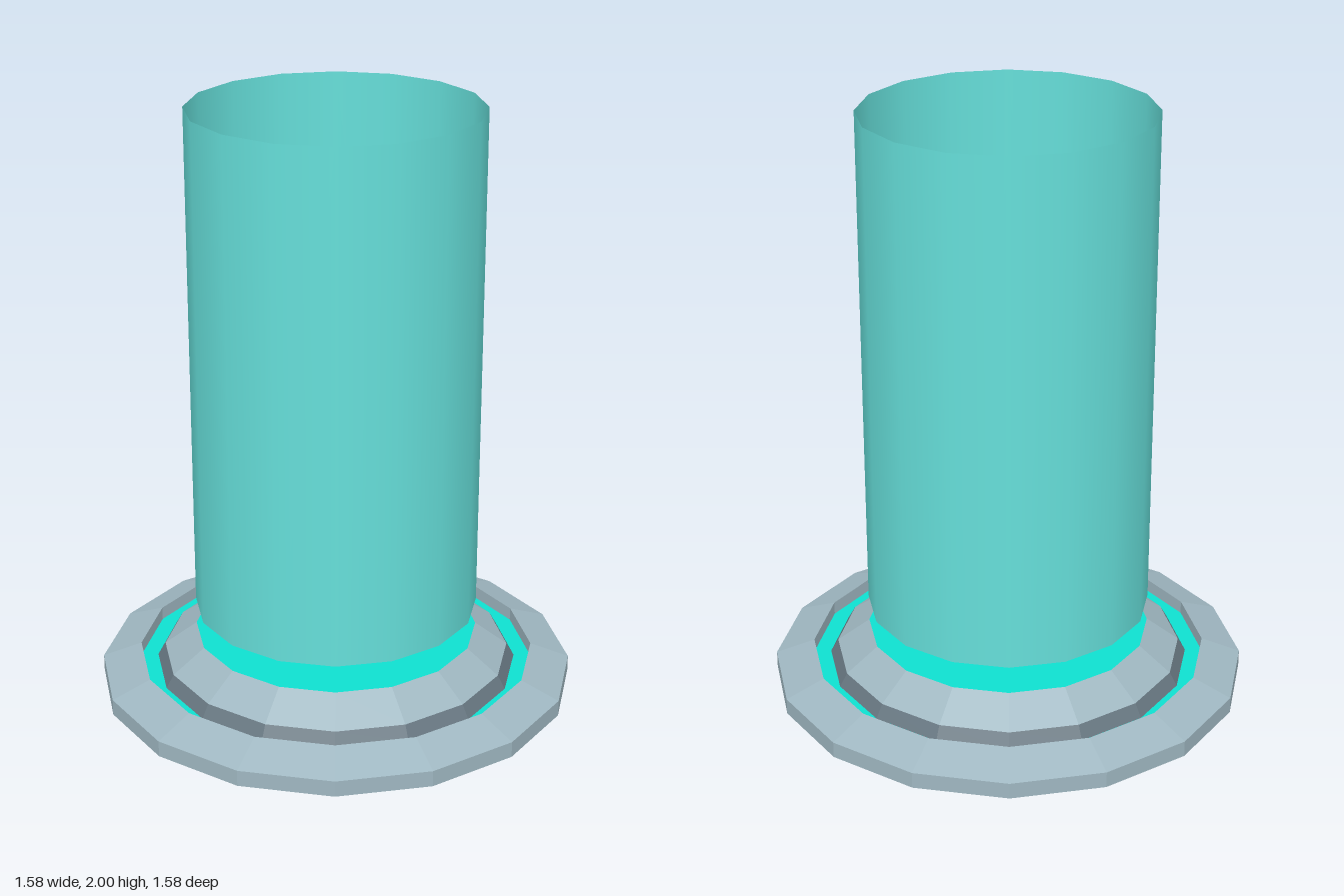
import * as THREE from 'three';

const SIDES = 16;
const START = Math.PI / SIDES; // flat sides face the axes

const paint = (color, flatShading = true) =>
  new THREE.MeshStandardMaterial({ color, flatShading, side: THREE.DoubleSide });

// Faceted ring or solid turned from [radius, height] pairs
function turned(name, profile, material) {
  const points = profile.map(([r, y]) => new THREE.Vector2(r, y));
  const geometry = new THREE.LatheGeometry(points, SIDES, START).toNonIndexed();
  geometry.computeVertexNormals();
  const mesh = new THREE.Mesh(geometry, material);
  mesh.name = name;
  return mesh;
}

export function createModel() {
  const group = new THREE.Group();
  group.name = 'beamPad';

  const metal = paint(0x9fb7c1);
  const darkMetal = paint(0x687882);
  const glow = paint(0x0fe0d0);
  const beamColor = paint(0x66dfda, false);

  // Base plate with a bevelled rim that drops into the groove
  group.add(turned('basePlate', [
    [0, 0], [0.805, 0], [0.805, 0.055], [0.673, 0.105], [0.673, 0.06],
  ], metal));

  // Glowing floor of the groove
  group.add(turned('glowRing', [[0.673, 0.06], [0.616, 0.06]], glow));

  // Dark inner wall of the groove
  group.add(turned('grooveWall', [[0.616, 0.06], [0.59, 0.105]], darkMetal));

  // Sloped collar rising to the emitter
  group.add(turned('collar', [[0.59, 0.105], [0.48, 0.185]], metal));

  // Glowing emitter disc
  const disc = new THREE.Mesh(new THREE.CircleGeometry(0.48, SIDES, START), glow);
  disc.rotation.x = -Math.PI / 2;
  disc.position.y = 0.185;
  disc.name = 'emitterDisc';
  group.add(disc);

  // Floating open beam
  const beam = new THREE.Mesh(
    new THREE.CylinderGeometry(0.48, 0.48, 1.72, SIDES, 1, true, START), beamColor);
  beam.position.y = 1.14;
  beam.name = 'beam';
  group.add(beam);

  return group;
}
